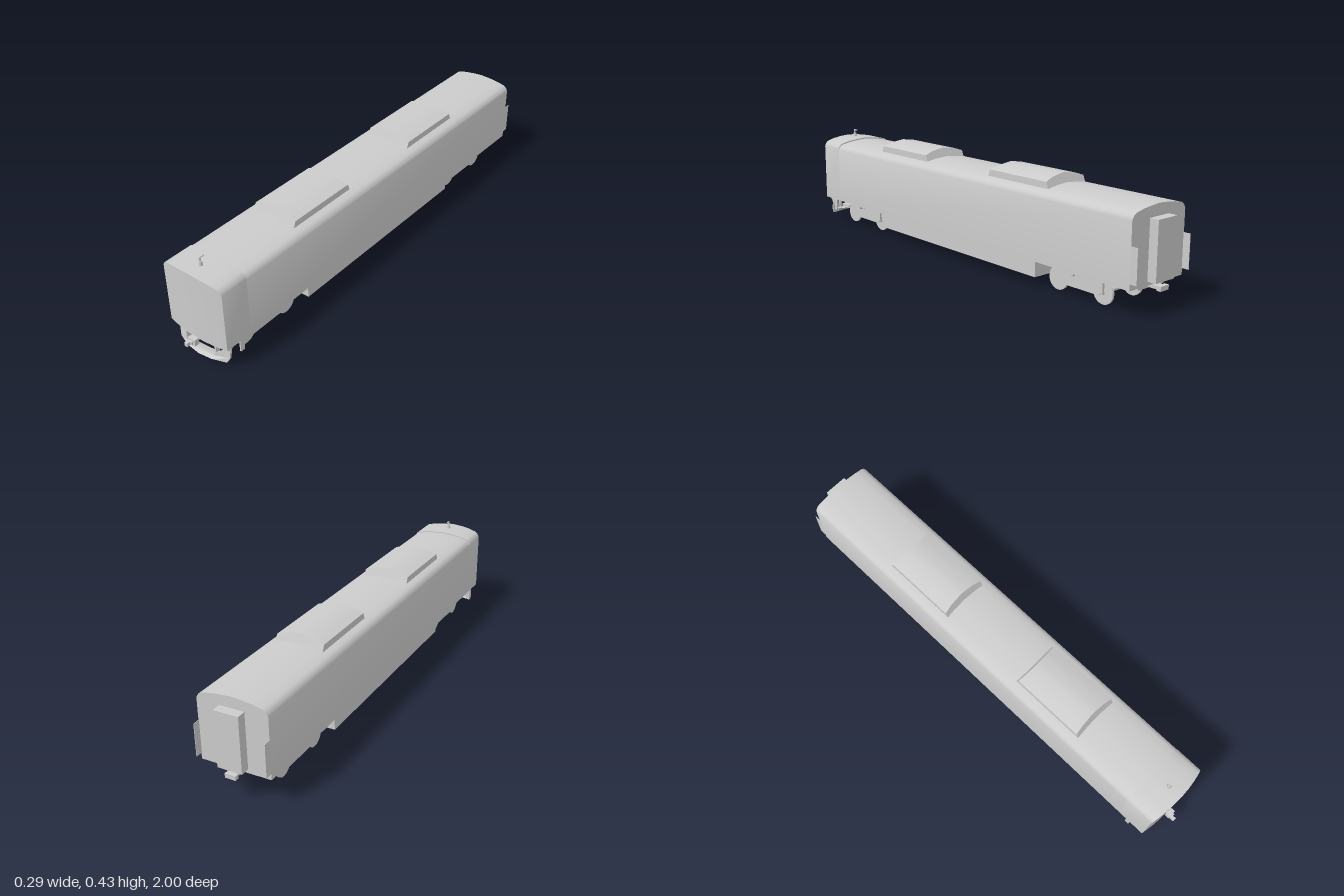
import * as THREE from 'three';
import { toCreasedNormals } from 'three/addons/utils/BufferGeometryUtils.js';

const grey = new THREE.MeshStandardMaterial({ color: 0xcccccc, side: THREE.DoubleSide });

function add(parent, name, geometry, x = 0, y = 0, z = 0) {
  const mesh = new THREE.Mesh(geometry, grey);
  mesh.name = name;
  mesh.position.set(x, y, z);
  parent.add(mesh);
  return mesh;
}

// Box given by its limits on each axis
function box(parent, name, [x0, x1], [y0, y1], [z0, z1]) {
  return add(parent, name, new THREE.BoxGeometry(x1 - x0, y1 - y0, z1 - z0),
    (x0 + x1) / 2, (y0 + y1) / 2, (z0 + z1) / 2);
}

// Mirror half of a roof line, given from the outer edge to the centre
const mirrorHalf = half => [...half.map(([x, y]) => [-x, y]), ...half.slice(0, -1).reverse()];

// Closed ring: roof line from -x to +x, then the flat base back again
function ring(roof, baseY, zAt) {
  const top = roof.map(([x, y]) => [x, y, zAt(x, y)]);
  const bottom = roof.map(([x]) => [x, baseY, zAt(x, baseY)]).reverse();
  return [...top, ...bottom];
}

// Solid between two rings, its ends closed in columns
function loft(back, front) {
  const n = back.length, p = [];
  const tri = (...corners) => corners.forEach(c => p.push(...c));
  for (let i = 0; i < n; i++) {
    const j = (i + 1) % n;
    tri(back[i], front[i], front[j]);
    tri(back[i], front[j], back[j]);
  }
  for (let i = 0; i < n / 2 - 1; i++) {
    const b0 = n - 1 - i, b1 = b0 - 1;
    tri(front[i], front[b0], front[b1]);
    tri(front[i], front[b1], front[i + 1]);
    tri(back[i], back[b1], back[b0]);
    tri(back[i], back[i + 1], back[b1]);
  }
  const g = new THREE.BufferGeometry();
  g.setAttribute('position', new THREE.Float32BufferAttribute(p, 3));
  return toCreasedNormals(g, 0.5);
}

function createBogie(z) {
  const bogie = new THREE.Group();
  bogie.name = 'bogie';
  bogie.position.z = z;
  for (const dz of [-0.11, 0.11]) {
    const axle = add(bogie, 'axle', new THREE.CylinderGeometry(0.008, 0.008, 0.19, 12), 0, 0.046, dz);
    axle.rotation.z = Math.PI / 2;
    for (const s of [-1, 1]) {
      const wheel = add(bogie, 'wheel', new THREE.CylinderGeometry(0.046, 0.046, 0.009, 28), s * 0.079, 0.046, dz);
      wheel.rotation.z = Math.PI / 2;
    }
  }
  // Side frames with cut lower corners
  const frame = new THREE.Shape([[-0.12, 0.1], [-0.12, 0.05], [-0.1, 0.035], [0.1, 0.035], [0.12, 0.05], [0.12, 0.1]]
    .map(([a, b]) => new THREE.Vector2(a, b)));
  for (const s of [-1, 1]) {
    const side = add(bogie, 'sideFrame', new THREE.ExtrudeGeometry(frame, { depth: 0.01, bevelEnabled: false }), s * 0.093 - 0.005);
    side.rotation.y = Math.PI / 2;
    const damper = add(bogie, 'damper', new THREE.CylinderGeometry(0.009, 0.009, 0.04, 10), s * 0.112, 0.096, 0);
    damper.rotation.z = Math.PI / 2;
    box(bogie, 'damperBracket', s > 0 ? [0.1, 0.125] : [-0.125, -0.1], [0.094, 0.106], [-0.03, 0.03]);
  }
  box(bogie, 'bolster', [-0.09, 0.09], [0.06, 0.106], [-0.035, 0.035]);
  return bogie;
}

export function createModel() {
  const model = new THREE.Group();
  model.name = 'railcar';

  // Coach body, and the slightly higher cab with its bowed front
  const roof = mirrorHalf([[0.143, 0.355], [0.139, 0.364], [0.132, 0.373], [0.122, 0.379],
    [0.085, 0.387], [0.045, 0.392], [0, 0.395]]);
  const lowRoof = roof.map(([x, y]) => [x, y - 0.005]);
  add(model, 'coachBody', loft(ring(lowRoof, 0.105, () => -0.963), ring(lowRoof, 0.105, () => 0.82)));
  add(model, 'cab', loft(ring(roof, 0.105, () => 0.82), ring(roof, 0.105, x => 0.957 - 0.8 * x * x)));

  // Roof units with sloping ends
  const unitRoof = mirrorHalf([[0.1, 0.405], [0.062, 0.418], [0.03, 0.423], [0, 0.427]]);
  for (const [z, name] of [[0.355, 'frontRoofUnit'], [-0.365, 'rearRoofUnit']]) {
    const end = (x, y) => 0.165 - (y - 0.38) * 0.4;
    add(model, name, loft(ring(unitRoof, 0.375, (x, y) => -end(x, y)), ring(unitRoof, 0.375, end)), 0, 0, z);
  }

  // Antenna
  const antenna = new THREE.Group();
  antenna.name = 'antenna';
  antenna.position.set(0, 0.39, 0.895);
  model.add(antenna);
  add(antenna, 'antennaBase', new THREE.CylinderGeometry(0.006, 0.01, 0.022, 12), 0, 0.011, 0);
  box(antenna, 'antennaMast', [-0.002, 0.002], [0.02, 0.038], [-0.003, 0.003]);
  box(antenna, 'antennaArm', [-0.002, 0.002], [0.034, 0.038], [-0.02, 0.005]);

  // Underfloor equipment and bogies
  box(model, 'equipmentBox', [-0.122, 0.122], [0.035, 0.106], [-0.49, 0.48]);
  model.add(createBogie(0.677), createBogie(-0.685));

  // Rear gangway, side fairings and coupler
  box(model, 'gangway', [-0.05, 0.05], [0.12, 0.345], [-1, -0.96]);
  for (const s of [-1, 1]) {
    box(model, 'rearFairing', [s * 0.142 - 0.001, s * 0.142 + 0.001], [0.13, 0.262], [-0.992, -0.96]);
  }
  box(model, 'rearCouplerMount', [-0.07, 0.07], [0.085, 0.106], [-0.94, -0.84]);
  box(model, 'rearCoupler', [-0.015, 0.015], [0.088, 0.102], [-0.985, -0.92]);
  box(model, 'rearCouplerHead', [-0.022, 0.022], [0.086, 0.104], [-1, -0.982]);

  // Front coupler
  box(model, 'couplerMount', [-0.06, 0.06], [0.068, 0.106], [0.84, 0.91]);
  box(model, 'couplerShelf', [-0.075, 0.075], [0.056, 0.066], [0.85, 0.91]);
  box(model, 'couplerShaft', [-0.008, 0.008], [0.088, 0.102], [0.9, 0.985]);
  box(model, 'couplerHead', [-0.017, 0.017], [0.083, 0.11], [0.958, 0.978]);
  box(model, 'couplerHook', [-0.014, 0], [0.086, 0.102], [0.978, 1]);

  // Front plough, bowed in plan
  const plough = new THREE.Shape([[-0.128, 0.088], [-0.128, 0.045], [-0.118, 0.025], [-0.06, 0.025], [0, 0.025],
    [0.06, 0.025], [0.118, 0.025], [0.128, 0.045], [0.128, 0.088], [0.075, 0.058], [0.068, 0.045], [0, 0.045],
    [-0.068, 0.045], [-0.075, 0.058]].map(([a, b]) => new THREE.Vector2(a, b)));
  let g = new THREE.ExtrudeGeometry(plough, { depth: 0.008, bevelEnabled: false });
  const p = g.attributes.position;
  for (let i = 0; i < p.count; i++) {
    const x = p.getX(i);
    p.setZ(i, p.getZ(i) - 2 * x * x - 0.15 * (p.getY(i) - 0.025));
  }
  add(model, 'plough', toCreasedNormals(g, 0.5), 0, 0, 0.947);

  // Plough hangers and cab steps
  for (const s of [-1, 1]) {
    box(model, 'ploughHanger', [s * 0.076 - 0.004, s * 0.076 + 0.004], [0.045, 0.106], [0.92, 0.938]);
    box(model, 'ploughBracket', [s * 0.105 - 0.022, s * 0.105 + 0.022], [0.09, 0.106], [0.9, 0.925]);
    box(model, 'ploughPost', [s * 0.122 - 0.004, s * 0.122 + 0.004], [0.08, 0.106], [0.9, 0.92]);
    box(model, 'cabStep', [s * 0.139 - 0.003, s * 0.139 + 0.003], [0.054, 0.106], [0.855, 0.875]);
  }
  return model;
}
